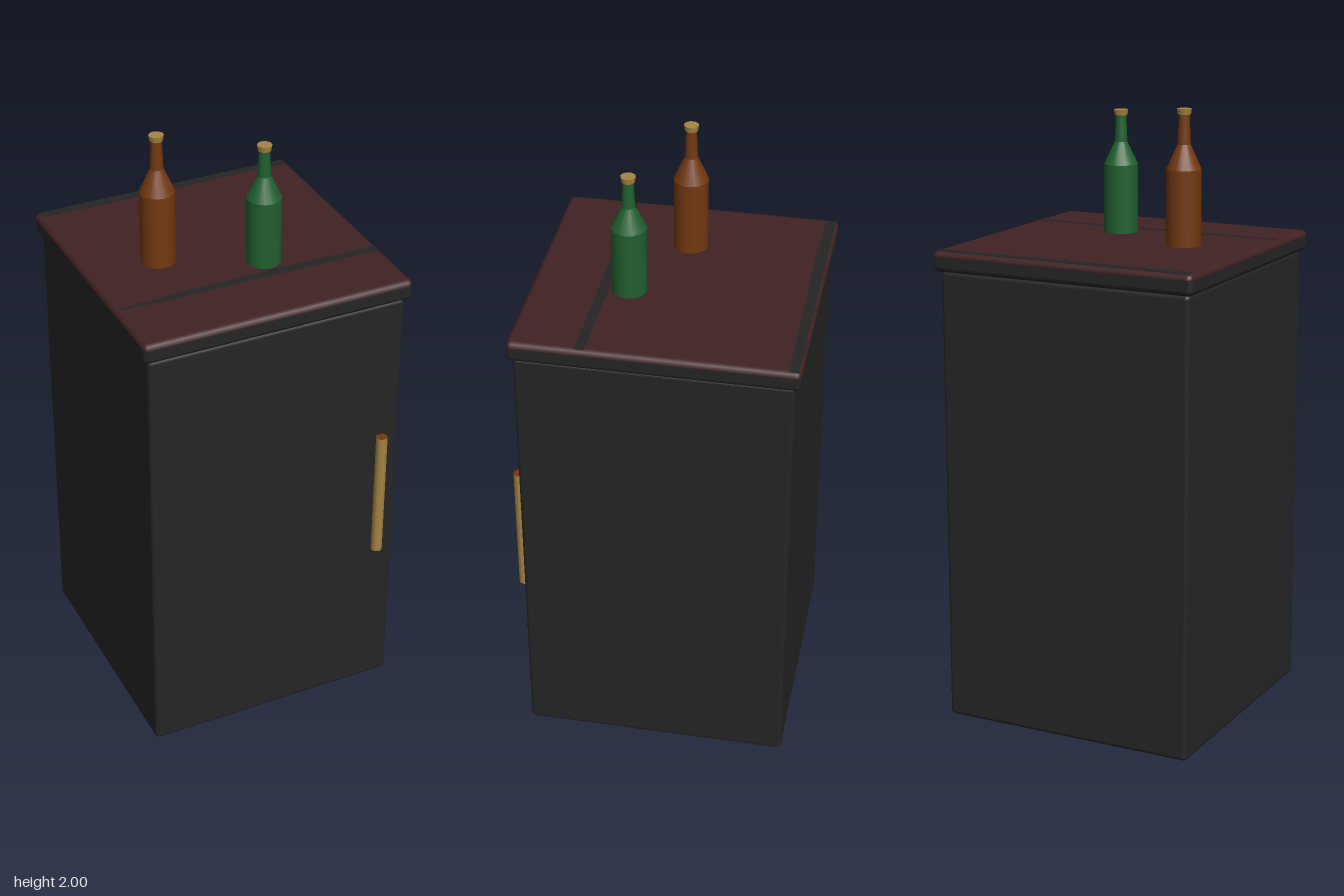
import * as THREE from 'three';
import { RoundedBoxGeometry } from 'three/addons/geometries/RoundedBoxGeometry.js';

const paint = (name, color) => {
  const m = new THREE.MeshStandardMaterial({ color });
  m.name = name;
  return m;
};

export function createModel() {
  const model = new THREE.Group();
  model.name = 'cabinetWithBottles';
  const charcoal = paint('charcoal', 0x252525);
  const maroon = paint('maroon', 0x412224);
  const brass = paint('brass', 0xa68443);
  const amber = paint('amberGlass', 0x723810);
  const green = paint('greenGlass', 0x20602f);

  const add = (name, geometry, material, x, y, z, parent = model) => {
    const mesh = new THREE.Mesh(geometry, material);
    mesh.name = name;
    mesh.position.set(x, y, z);
    parent.add(mesh);
    return mesh;
  };

  // Cabinet body
  add('cabinetBody', new RoundedBoxGeometry(0.865, 1.495, 0.865, 2, 0.014), charcoal, -0.002, 0.7525, -0.008);

  // Keeps only the triangles above or below a height
  const keepSide = (geometry, height, above) => {
    const src = geometry.index ? geometry.toNonIndexed() : geometry;
    const p = src.attributes.position, n = src.attributes.normal;
    const pos = [], nor = [];
    for (let i = 0; i < p.count; i += 3) {
      const mid = (p.getY(i) + p.getY(i + 1) + p.getY(i + 2)) / 3;
      if ((mid > height) !== above) continue;
      for (let k = i; k < i + 3; k++) {
        pos.push(p.getX(k), p.getY(k), p.getZ(k));
        nor.push(n.getX(k), n.getY(k), n.getZ(k));
      }
    }
    const out = new THREE.BufferGeometry();
    out.setAttribute('position', new THREE.Float32BufferAttribute(pos, 3));
    out.setAttribute('normal', new THREE.Float32BufferAttribute(nor, 3));
    return out;
  };

  // Worktop: maroon upper face and rounded rim over a charcoal edge
  const slab = new RoundedBoxGeometry(0.902, 0.068, 0.9, 2, 0.018);
  add('worktopSurface', keepSide(slab, 0.012, true), maroon, -0.001, 1.533, -0.01);
  add('worktopEdge', keepSide(slab, 0.012, false), charcoal, -0.001, 1.533, -0.01);

  // Dark streaks inlaid across the worktop, outlines in x and z
  const streaks = {
    frontStreak: [[-0.44, 0.209], [-0.2, 0.197], [0.05, 0.193], [0.44, 0.198], [0.44, 0.227], [-0.27, 0.226], [-0.43, 0.218]],
    backStreak: [[-0.44, -0.451], [0.44, -0.451], [0.44, -0.423], [0.1, -0.418], [-0.2, -0.414], [-0.43, -0.419]],
  };
  for (const [name, outline] of Object.entries(streaks)) {
    const shape = new THREE.Shape(outline.map(([x, z]) => new THREE.Vector2(x, -z)));
    const plate = new THREE.ExtrudeGeometry(shape, { depth: 0.002, bevelEnabled: false });
    add(name, plate.rotateX(-Math.PI / 2), charcoal, 0, 1.566, 0);
  }

  // Door handle with amber ends
  add('doorHandle', new THREE.CylinderGeometry(0.019, 0.019, 0.45, 8), [brass, amber, amber], 0.363, 0.785, 0.44);

  // Bottles: body, shoulder and neck in glass, with a flared brass cap
  const bottle = (name, glass, x, z, shoulder, neck, top) => {
    const group = new THREE.Group();
    group.name = name;
    group.position.set(x, 1.566, z);
    model.add(group);
    const tube = (part, r1, r0, y0, y1, mat, sides = 16) =>
      add(part, new THREE.CylinderGeometry(r1, r0, y1 - y0, sides), mat, 0, (y0 + y1) / 2, 0, group);
    tube('bottleBody', 0.056, 0.056, 0, shoulder, glass);
    tube('bottleShoulder', 0.021, 0.056, shoulder, neck, glass);
    tube('bottleNeck', 0.017, 0.021, neck, top - 0.015, glass);
    tube('bottleCap', 0.024, 0.021, top - 0.018, top, brass, 10);
  };
  bottle('amberBottle', amber, -0.21, -0.01, 0.244, 0.322, 0.434);
  bottle('greenBottle', green, 0.085, 0.13, 0.225, 0.298, 0.402);

  return model;
}
